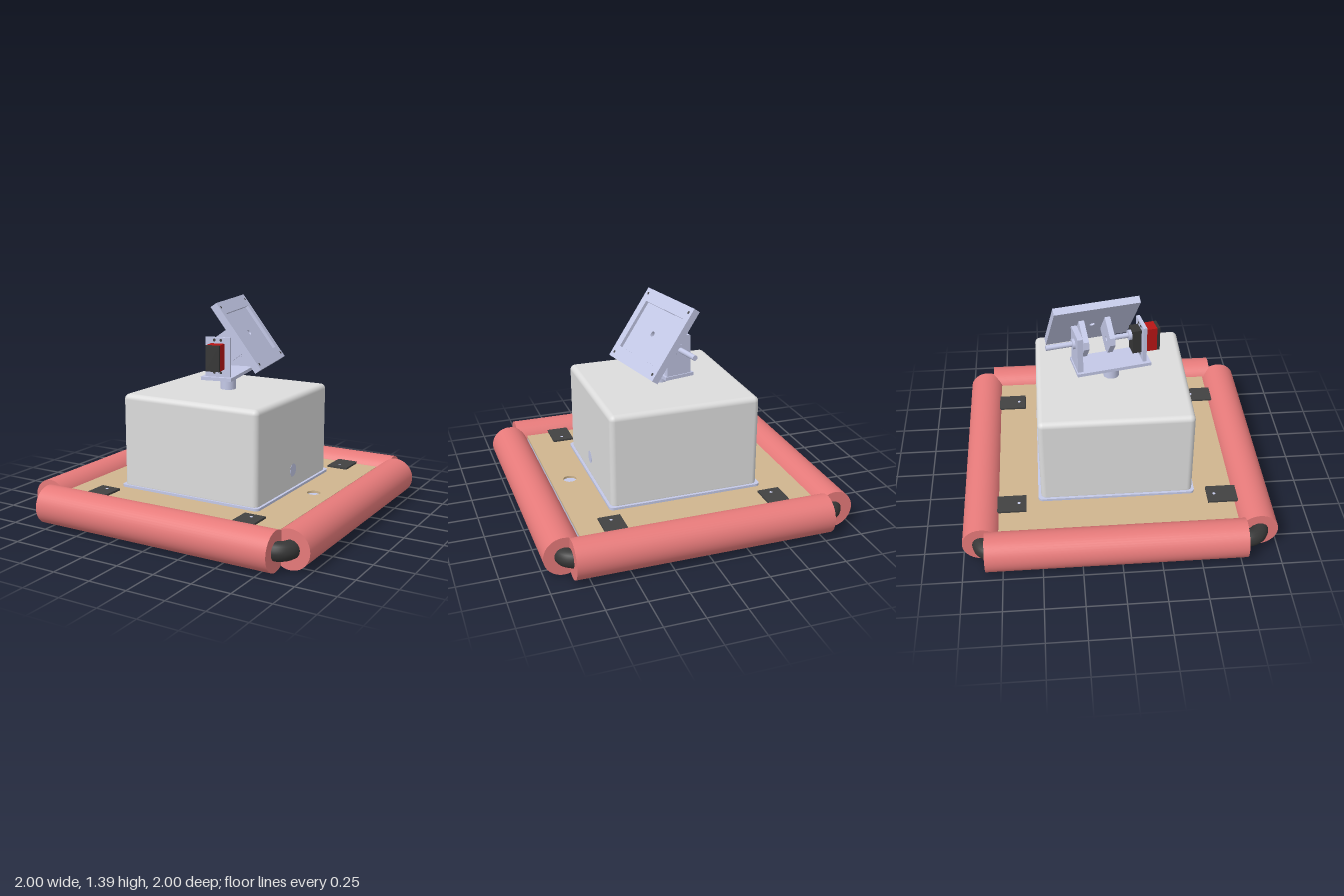
import * as THREE from 'three';
import { RoundedBoxGeometry } from 'three/addons/geometries/RoundedBoxGeometry.js';

const mat = (name, color) => new THREE.MeshStandardMaterial({ name, color });

export function createModel() {
  const pink = mat('foam pink', 0xe67a7a);
  const tan = mat('wood tan', 0xcfb58e);
  const grey = mat('case grey', 0xdcdcdc);
  const lavender = mat('metal lavender', 0xc6cbea);
  const dark = mat('strap dark grey', 0x424242);
  const black = mat('pipe black', 0x363636);
  const red = mat('servo red', 0xb81515);

  const model = new THREE.Group();
  model.name = 'floatingPlatform';

  const add = (parent, name, geo, material, x = 0, y = 0, z = 0) => {
    const mesh = new THREE.Mesh(geo, material);
    mesh.name = name;
    mesh.position.set(x, y, z);
    parent.add(mesh);
    return mesh;
  };
  // Box given by its lower and upper limits on each axis
  const box = (parent, name, material, [x0, x1], [y0, y1], [z0, z1]) =>
    add(parent, name, new THREE.BoxGeometry(x1 - x0, y1 - y0, z1 - z0), material,
      (x0 + x1) / 2, (y0 + y1) / 2, (z0 + z1) / 2);
  // Cylinder along a chosen axis
  const rod = (r, len, axis, sides = 32) => {
    const g = new THREE.CylinderGeometry(r, r, len, sides);
    if (axis === 'x') g.rotateZ(Math.PI / 2);
    if (axis === 'z') g.rotateX(Math.PI / 2);
    return g;
  };
  const polygon = (shape, pts) => {
    pts.forEach(([x, y], i) => (i ? shape.lineTo(x, y) : shape.moveTo(x, y)));
    shape.closePath();
    return shape;
  };
  const rect = (shape, a, b) => polygon(shape, [[-a, -b], [a, -b], [a, b], [-a, b]]);
  const circle = (x, y, r) => new THREE.Path().absarc(x, y, r, 0, Math.PI * 2, true);
  const extrude = (shape, depth) =>
    new THREE.ExtrudeGeometry(shape, { depth, bevelEnabled: false, curveSegments: 16 });
  // Extrusion lying flat, growing upwards
  const slab = (shape, depth) => extrude(shape, depth).rotateX(-Math.PI / 2);

  // Foam floats: axis, centre x, centre z, length
  const FY = 0.123;
  [['frontFloat', 'x', 0, 0.877, 1.64], ['backFloat', 'x', 0.015, -0.877, 1.65],
    ['leftFloat', 'z', 0.877, -0.01, 1.64], ['rightFloat', 'z', -0.877, -0.035, 1.64],
  ].forEach(([name, axis, x, z, len]) =>
    add(model, name, rod(0.123, len, axis, 48), pink, x, FY, z));

  // Pipe frame inside the floats, with rounded elbows
  const frame = new THREE.Group();
  frame.name = 'pipeFrame';
  model.add(frame);
  for (let k = 0; k < 4; k++) {
    const side = new THREE.Group();
    side.name = 'pipeSide';
    side.rotation.y = k * Math.PI / 2;
    frame.add(side);
    const elbow = new THREE.TorusGeometry(0.08, 0.057, 16, 16, Math.PI / 2).rotateX(Math.PI / 2);
    add(side, 'elbow', elbow, black, 0.8, 0.125, 0.8);
    add(side, 'pipe', rod(0.057, 1.6, 'z', 16), black, 0.88, 0.125, 0);
  }

  // Deck: thin wooden board with a drilled port, over a deep base slab
  const DX = -0.01, DZ = -0.01;
  const board = rect(new THREE.Shape(), 0.766, 0.762);
  board.holes.push(circle(0.64, 0, 0.043));
  add(model, 'deckBoard', slab(board, 0.015), tan, DX, 0.17, DZ);
  box(model, 'deckBase', lavender, [DX - 0.766, DX + 0.766], [0.07, 0.17], [DZ - 0.762, DZ + 0.762]);

  // Straps above and below the deck, each with a bolt
  [[-0.535, -0.69], [0.533, -0.69], [-0.543, 0.678], [0.527, 0.678]].forEach(([x, z]) => {
    [0.191, 0.064].forEach((y) =>
      add(model, 'strap', new THREE.BoxGeometry(0.142, 0.014, 0.195), dark, x, y, z));
    add(model, 'strapBolt', rod(0.01, 0.143, 'y', 12), lavender, x, 0.1275, z - Math.sign(z) * 0.05);
  });

  // Equipment case with a thin sealing flange and a cable port
  add(model, 'case', new RoundedBoxGeometry(0.985, 0.633, 0.985, 5, 0.035), grey, -0.008, 0.4885, -0.003);
  const fl = new THREE.Shape();
  const h = 0.509, r = 0.03;
  [[1, 1], [-1, 1], [-1, -1], [1, -1]].forEach(([sx, sy], i) =>
    fl.absarc(sx * (h - r), sy * (h - r), r, i * Math.PI / 2, (i + 1) * Math.PI / 2));
  add(model, 'caseFlange', slab(fl, 0.016), lavender, -0.008, 0.185, -0.005);
  add(model, 'casePort', rod(0.042, 0.006, 'x'), lavender, 0.4825, 0.318, 0);

  // Turning head on a short mast
  add(model, 'mast', rod(0.051, 0.12, 'y'), lavender, -0.003, 0.85, -0.003);
  const head = new THREE.Group();
  head.name = 'turningHead';
  head.rotation.y = 0.2;
  model.add(head);
  box(head, 'headBase', lavender, [-0.105, 0.1], [0.9, 0.922], [-0.252, 0.238]);

  // Servo bracket at the front
  box(head, 'servoBracket', lavender, [-0.082, 0.082], [0.92, 1.175], [0.188, 0.212]);
  box(head, 'servoBody', red, [-0.045, 0.045], [0.972, 1.137], [0.212, 0.292]);
  box(head, 'servoCap', black, [-0.045, 0.045], [0.972, 1.137], [0.292, 0.312]);
  box(head, 'servoGearbox', black, [-0.043, 0.043], [0.972, 1.137], [0.13, 0.188]);
  for (const x of [-0.022, 0.022]) {
    for (const y of [0.95, 1.158]) {
      add(head, 'servoScrew', rod(0.009, 0.028, 'z', 12), dark, x, y, 0.2);
    }
  }

  // Rear bearing post with clipped top corners
  const AY = 1.09;
  const post = polygon(new THREE.Shape(),
    [[-0.085, 0.92], [0.085, 0.92], [0.085, 1.168], [0.078, 1.175], [-0.078, 1.175], [-0.085, 1.168]]);
  add(head, 'bearingPost', extrude(post, 0.035), lavender, 0, 0, -0.245);
  add(head, 'bearingCollar', rod(0.034, 0.016, 'z'), lavender, 0, AY, -0.253);
  add(head, 'tiltShaft', rod(0.017, 0.27, 'z', 20), lavender, 0, AY, -0.295);
  add(head, 'servoHorn', rod(0.034, 0.02, 'z'), lavender, 0, AY, 0.12);
  add(head, 'driveShaft', rod(0.017, 0.15, 'z', 20), lavender, 0, AY, 0.055);

  // Tilting panel: local x runs down the panel, local y is its outward normal
  const tilt = new THREE.Group();
  tilt.name = 'tiltingPanel';
  tilt.position.set(0, AY, 0);
  tilt.rotation.z = -54 * Math.PI / 180;
  head.add(tilt);
  for (const z of [-0.205, -0.035]) {
    const tab = polygon(new THREE.Shape(), [[-0.095, 0.112], [-0.095, -0.04], [-0.06, -0.075],
      [0.06, -0.075], [0.095, -0.04], [0.095, 0.112]]);
    tab.holes.push(circle(0, 0, 0.017));
    add(tilt, 'cradleTab', extrude(tab, 0.035), lavender, 0, 0, z);
  }

  // Framed panel: rim with a recessed plate, centre hole and corner screws
  const PZ = -0.104;
  const layer = (name, hole, y, depth) => {
    const s = rect(new THREE.Shape(), 0.254, 0.277);
    s.holes.push(hole);
    add(tilt, name, slab(s, depth), lavender, 0, y, PZ);
  };
  layer('panelPlate', circle(0, 0, 0.018), 0.11, 0.026);
  layer('panelRim', rect(new THREE.Path(), 0.168, 0.22), 0.136, 0.021);
  for (const x of [-0.218, 0.218]) {
    for (const z of [-0.243, 0.243]) {
      add(tilt, 'panelScrew', rod(0.009, 0.004, 'y', 12), dark, x, 0.156, PZ + z);
    }
  }
  return model;
}
